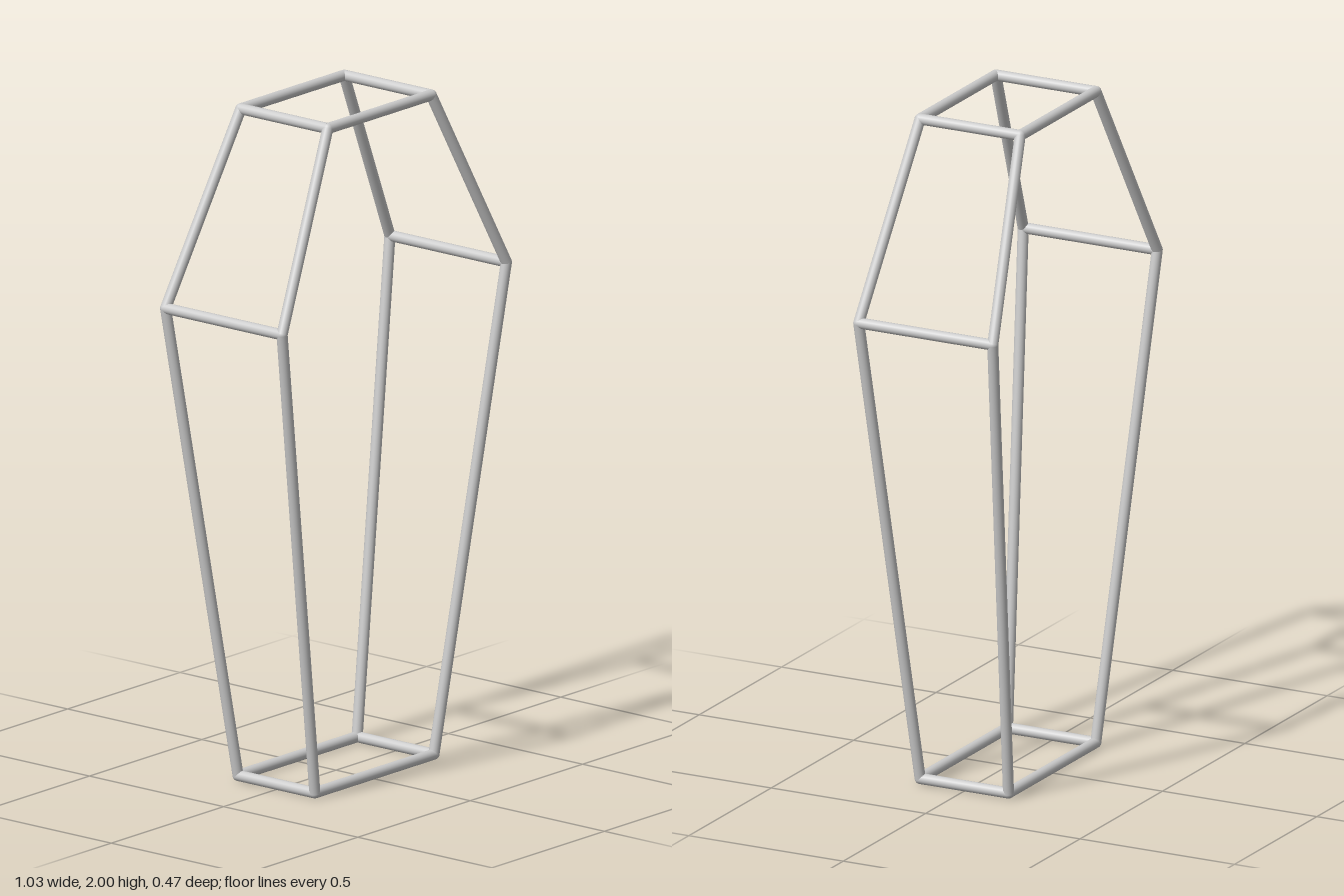
import * as THREE from 'three';

const R = 0.016;

export function createModel() {
  const group = new THREE.Group();
  const material = new THREE.MeshStandardMaterial({ color: 0xcccccc });

  // Centre lines of the frame: half width, height, half depth
  const levels = {
    base: [0.265, R, 0.143],
    shoulder: [0.499, 1.44, 0.217],
    top: [0.23, 2 - R, 0.162],
  };
  const corner = (level, sx, sz) => {
    const [x, y, z] = levels[level];
    return new THREE.Vector3(sx * x, y, sz * z);
  };

  // Round bar between two points
  const addBar = (name, a, b) => {
    const dir = b.clone().sub(a);
    const bar = new THREE.Mesh(new THREE.CylinderGeometry(R, R, dir.length(), 20), material);
    bar.name = name;
    bar.position.copy(a).add(b).multiplyScalar(0.5);
    bar.quaternion.setFromUnitVectors(new THREE.Vector3(0, 1, 0), dir.normalize());
    group.add(bar);
  };

  for (const s of [-1, 1]) {
    const side = s > 0 ? 'left' : 'right';
    const face = s > 0 ? 'front' : 'back';

    // Crossbars along the width, at the base and the top
    for (const level of ['base', 'top'])
      addBar(`${face}${level}Bar`, corner(level, -1, s), corner(level, 1, s));

    // Spacers along the depth, at all three levels
    for (const level of Object.keys(levels))
      addBar(`${side}${level}Spacer`, corner(level, s, -1), corner(level, s, 1));

    // Long lower rails, short upper rails and rounded joints
    for (const sz of [-1, 1]) {
      const end = sz > 0 ? 'Front' : 'Back';
      addBar(`${side}${end}LowerRail`, corner('base', s, sz), corner('shoulder', s, sz));
      addBar(`${side}${end}UpperRail`, corner('shoulder', s, sz), corner('top', s, sz));
      for (const level of Object.keys(levels)) {
        const joint = new THREE.Mesh(new THREE.SphereGeometry(R, 20, 12), material);
        joint.name = `${side}${end}${level}Joint`;
        joint.position.copy(corner(level, s, sz));
        group.add(joint);
      }
    }
  }
  return group;
}
